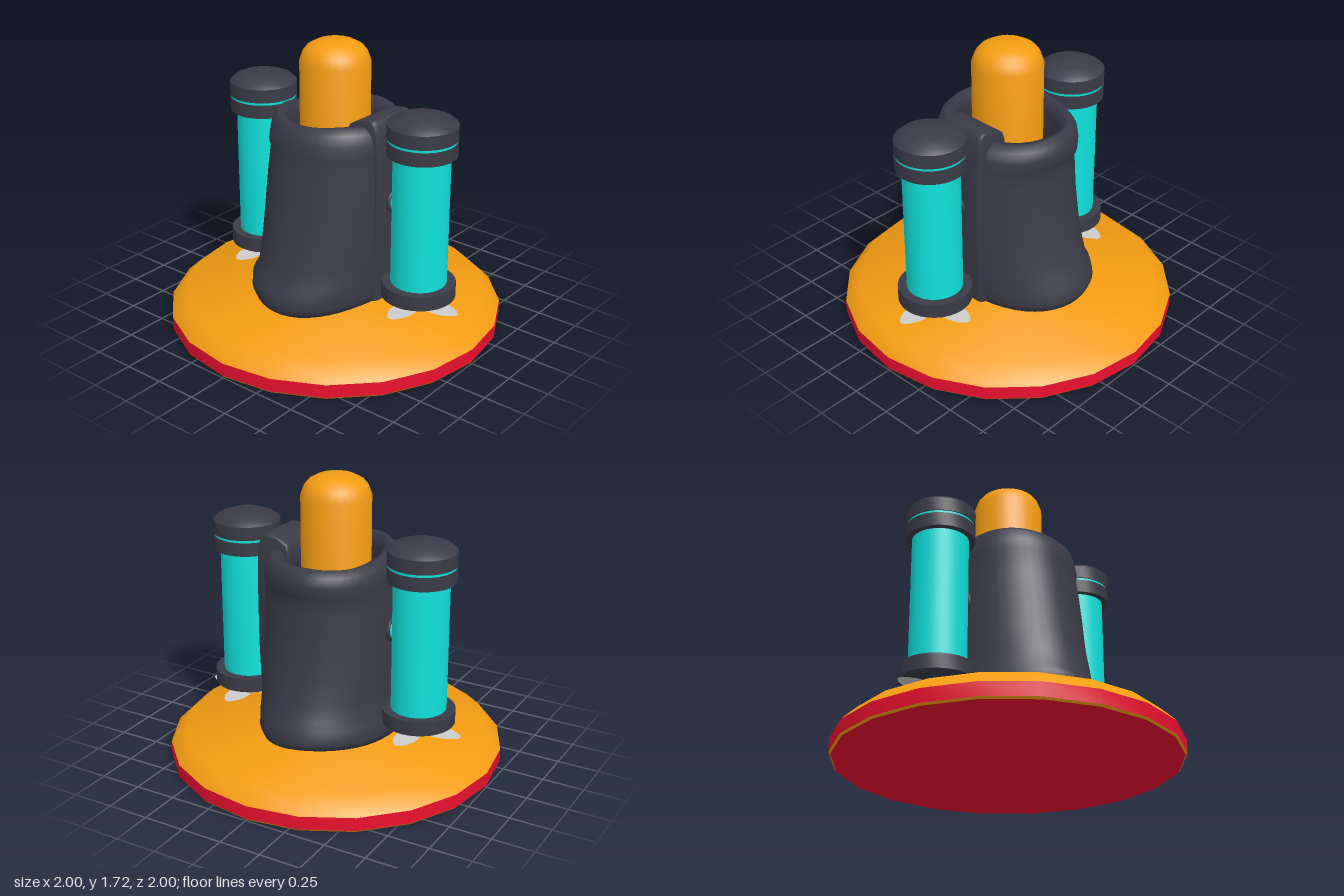
import * as THREE from 'three';
import { toCreasedNormals } from 'three/addons/utils/BufferGeometryUtils.js';

const mat = (color) => new THREE.MeshStandardMaterial({ color });
const orange = mat(0xf39c12), red = mat(0xec1030), dark = mat(0x3a3b47), cyan = mat(0x10e2dc);
const grey = mat(0xcccccc);
grey.side = THREE.DoubleSide;

function add(parent, name, geometry, material, x = 0, y = 0, z = 0) {
  const mesh = new THREE.Mesh(geometry, material);
  mesh.name = name;
  mesh.position.set(x, y, z);
  parent.add(mesh);
  return mesh;
}

// Turned part from [radius, height] pairs, listed bottom to top
function turned(profile, sides, crease = 0.6) {
  const g = new THREE.LatheGeometry(profile.map(([r, y]) => new THREE.Vector2(r, y)), sides);
  return toCreasedNormals(g, crease);
}

// Cloth tube: closed loop of egg-shaped rings [y, xMin, xMax, zMin, zMax], up the outside, down the inside
function sleeveGeometry() {
  const rings = [
    [0.22, -0.37, 0.35, -0.51, 0.51], [0.235, -0.41, 0.39, -0.555, 0.56], [0.28, -0.425, 0.405, -0.575, 0.58],
    [0.35, -0.415, 0.41, -0.555, 0.58], [0.40, -0.39, 0.415, -0.525, 0.535], [0.50, -0.385, 0.42, -0.49, 0.51],
    [0.65, -0.38, 0.42, -0.45, 0.475], [0.85, -0.37, 0.425, -0.42, 0.445], [1.02, -0.36, 0.42, -0.41, 0.42],
    [1.11, -0.35, 0.41, -0.405, 0.40], [1.14, -0.36, 0.415, -0.43, 0.41], [1.21, -0.355, 0.41, -0.44, 0.395],
    [1.27, -0.345, 0.39, -0.43, 0.375], [1.305, -0.31, 0.35, -0.39, 0.34], [1.29, -0.27, 0.29, -0.345, 0.30],
    [1.22, -0.26, 0.27, -0.33, 0.29], [1.10, -0.27, 0.29, -0.33, 0.31], [0.70, -0.29, 0.31, -0.36, 0.37],
    [0.32, -0.33, 0.32, -0.45, 0.45],
  ];
  const n = 48, position = [], index = [];
  rings.forEach(([y, x0, x1, z0, z1], i) => {
    for (let j = 0; j < n; j++) {
      const a = (j / n) * Math.PI * 2, c = Math.cos(a), s = Math.sin(a);
      const sag = y < 0.45 ? 0.012 * Math.sin(3 * a + 1) : y > 1.08 ? 0.025 * s + 0.01 * Math.sin(3 * a) : 0;
      position.push(c * (c > 0 ? x1 : -x0), y + sag, s * (s > 0 ? z1 : -z0));
      const k = (j + 1) % n, r = i * n, t = ((i + 1) % rings.length) * n;
      index.push(r + j, t + j, r + k, r + k, t + j, t + k);
    }
  });
  const g = new THREE.BufferGeometry();
  g.setAttribute('position', new THREE.Float32BufferAttribute(position, 3));
  g.setIndex(index);
  g.computeVertexNormals();
  return g;
}

// Overlapping end of the cloth, leaning slightly outward and rolled in at the top
function flapGeometry() {
  const s = new THREE.Shape();
  s.moveTo(0.36, 0.24);
  s.lineTo(0.41, 0.26);
  s.lineTo(0.425, 0.7);
  s.lineTo(0.425, 1.1);
  s.quadraticCurveTo(0.42, 1.34, 0.38, 1.355);
  s.quadraticCurveTo(0.30, 1.36, 0.235, 1.31);
  s.quadraticCurveTo(0.20, 1.24, 0.24, 1.14);
  s.lineTo(0.33, 1.0);
  s.closePath();
  const g = new THREE.ExtrudeGeometry(s, {
    depth: 0.26, bevelEnabled: true, bevelSize: 0.01, bevelThickness: 0.03, bevelSegments: 3, curveSegments: 8,
  });
  g.translate(0, 0, -0.15);
  // Follow the curve of the sleeve away from the middle
  const p = g.attributes.position;
  for (let i = 0; i < p.count; i++) p.setX(i, p.getX(i) - 0.9 * Math.max(0, p.getZ(i)) ** 2);
  return toCreasedNormals(g, 0.8);
}

function makeTank(name, x) {
  const tank = new THREE.Group();
  tank.name = name;
  tank.position.x = x;
  add(tank, 'tankBody', turned([[0, 0.4], [0.163, 0.4], [0.163, 1.21], [0, 1.21]], 32), cyan);
  add(tank, 'bottomCap', turned([[0, 0.325], [0.215, 0.325], [0.215, 0.412], [0, 0.412]], 32), dark);
  add(tank, 'nozzle', turned([[0, 0.268], [0.033, 0.268], [0.033, 0.33], [0, 0.33]], 16), dark);
  add(tank, 'collar', turned([[0, 1.197], [0.2, 1.197], [0.2, 1.278], [0, 1.278]], 32), dark);
  add(tank, 'glowRing', turned([[0.1, 1.27], [0.194, 1.27], [0.194, 1.303], [0.1, 1.303]], 32), cyan);
  add(tank, 'topCap', turned([[0, 1.294], [0.2, 1.294], [0.2, 1.375], [0.17, 1.4], [0.105, 1.424], [0, 1.426]], 32), dark);
  // Flat petals spreading from under the nozzle
  const petal = new THREE.Shape();
  petal.moveTo(0, 0);
  petal.bezierCurveTo(0.09, 0.06, 0.09, 0.2, 0.02, 0.265);
  petal.quadraticCurveTo(0, 0.28, -0.02, 0.265);
  petal.bezierCurveTo(-0.09, 0.2, -0.09, 0.06, 0, 0);
  for (let i = 0; i < 4; i++) {
    const g = new THREE.ShapeGeometry(petal, 8);
    g.rotateX(-Math.PI / 2);
    g.rotateY((i * Math.PI) / 2);
    add(tank, 'petal', g, grey, 0, 0.276, 0);
  }
  return tank;
}

// Round stud between the sleeve and a tank
function makeStud(name, x, side) {
  const stud = new THREE.Group();
  stud.name = name;
  stud.position.set(x, 0.865, 0);
  stud.rotation.z = -side * Math.PI / 2;
  add(stud, 'studLens', turned([[0, -0.03], [0.055, -0.03], [0.055, 0.012], [0.035, 0.024], [0, 0.03]], 20), cyan);
  const rim = new THREE.TorusGeometry(0.062, 0.013, 8, 24);
  rim.rotateX(Math.PI / 2);
  add(stud, 'studRim', rim, dark);
  return stud;
}

export function createModel() {
  const model = new THREE.Group();
  model.name = 'displayStand';

  // Twenty-sided base with a red band and red underside
  const base = new THREE.Group();
  base.name = 'base';
  add(base, 'underside', turned([[0, 0], [0.99, 0]], 20), red);
  add(base, 'lowerRim', turned([[0.99, 0], [1, 0.012]], 20), orange);
  add(base, 'redBand', turned([[1, 0.012], [1, 0.092]], 20), red);
  add(base, 'basePlate', turned([[1, 0.092], [0.985, 0.108], [0.91, 0.178], [0, 0.18]], 20, 0.9), orange);
  model.add(base);

  // Round-topped post
  add(model, 'post', turned([[0.205, 0.17], [0.205, 1.61], [0.185, 1.665], [0.16, 1.695], [0.11, 1.722], [0, 1.724]], 32, 0.9), orange);

  add(model, 'sleeve', sleeveGeometry(), dark);
  add(model, 'sleeveFlap', flapGeometry(), dark);

  model.add(makeTank('rightTank', -0.552), makeTank('leftTank', 0.615));
  model.add(makeStud('rightStud', -0.375, -1), makeStud('leftStud', 0.435, 1));
  return model;
}
